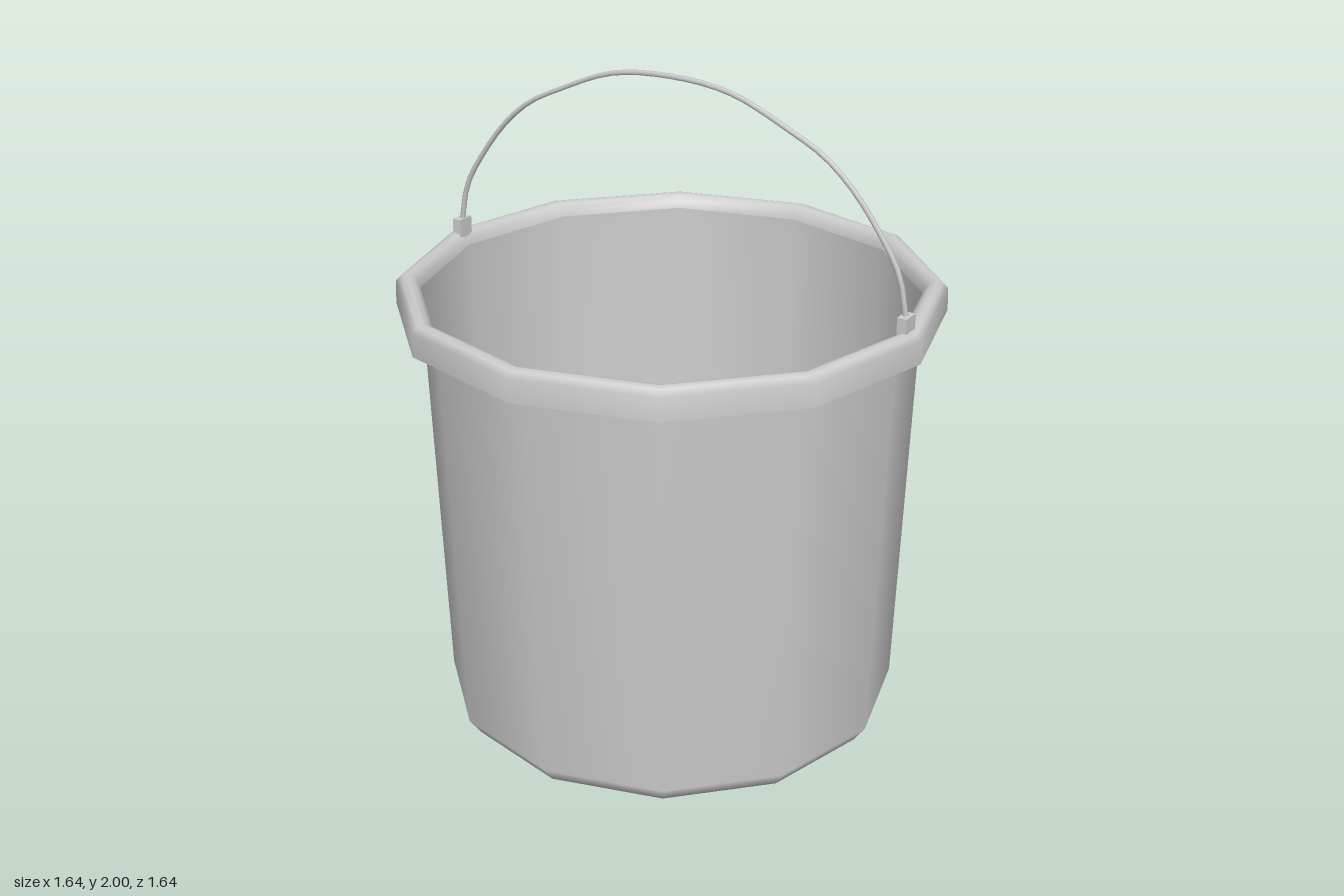
import * as THREE from 'three';

const SIDES = 12;

export function createModel() {
  const group = new THREE.Group();
  const sheet = new THREE.MeshStandardMaterial({ color: 0xcccccc, side: THREE.DoubleSide });
  const solid = new THREE.MeshStandardMaterial({ color: 0xcccccc });

  const add = (name, geometry, material) => {
    const mesh = new THREE.Mesh(geometry, material);
    mesh.name = name;
    group.add(mesh);
    return mesh;
  };
  const lathe = (points) =>
    new THREE.LatheGeometry(points.map(([r, y]) => new THREE.Vector2(r, y)), SIDES);

  // Thin tapered shell with a bevelled foot
  add('bucketBody', lathe([[0, 0], [0.665, 0], [0.7, 0.05], [0.745, 1.29], [0.746, 1.34]]), sheet);

  // Rolled lip, open underneath
  add('rim', lathe([
    [0.746, 1.33], [0.752, 1.36], [0.768, 1.377], [0.785, 1.382],
    [0.803, 1.377], [0.818, 1.36], [0.82, 1.29],
  ]), sheet);

  // Lugs that hold the handle ends
  for (const side of [-1, 1]) {
    const lug = add(side > 0 ? 'leftLug' : 'rightLug', new THREE.BoxGeometry(0.03, 0.06, 0.055), solid);
    lug.position.set(side * 0.77, 1.396, 0);
  }

  // Wire handle, mirrored about the middle
  const half = [[0.77, 1.41], [0.742, 1.54], [0.67, 1.66], [0.59, 1.76], [0.5, 1.838], [0.385, 1.897], [0.2, 1.972]];
  const path = [
    ...half.map(([x, y]) => new THREE.Vector3(-x, y, 0)),
    new THREE.Vector3(0, 1.992, 0),
    ...half.map(([x, y]) => new THREE.Vector3(x, y, 0)).reverse(),
  ];
  add('handle', new THREE.TubeGeometry(new THREE.CatmullRomCurve3(path), 42, 0.008, 6), solid);

  return group;
}
